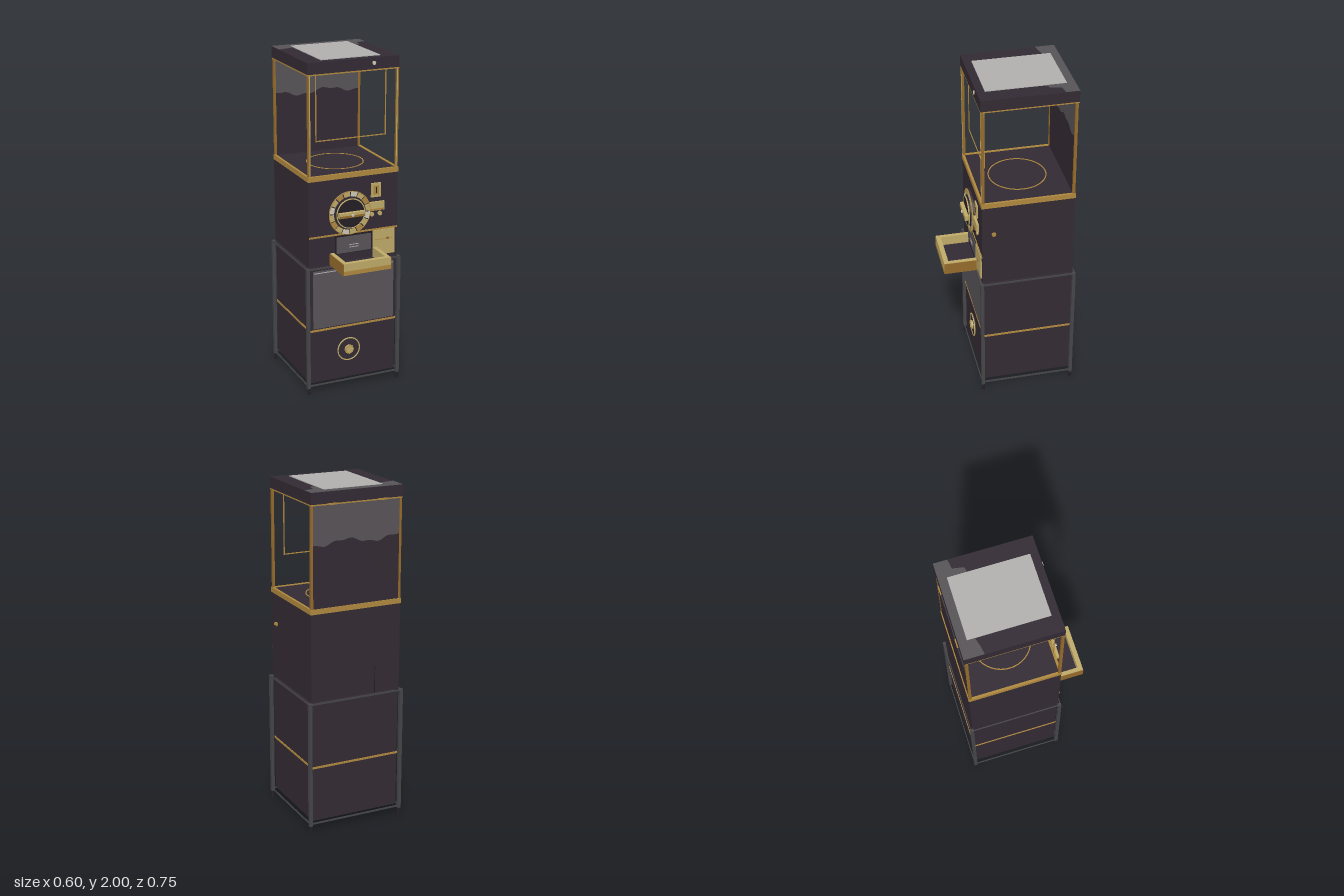
import * as THREE from 'three';

const mat = (name, color) => {
  const m = new THREE.MeshStandardMaterial({ color });
  m.name = name;
  return m;
};

export function createModel() {
  const dark = mat('dark plum', 0x332a33);
  const grey = mat('warm grey', 0x575357);
  const metal = mat('frame metal', 0x454448);
  const gold = mat('pale brass', 0xbda968);
  const warm = mat('warm gold', 0xae873e);
  const brass = mat('deep brass', 0x946a2b);
  const pale = mat('frosted grey', 0xb0afae);
  const cream = mat('cream', 0xcdc6b2);
  const black = mat('shadow black', 0x241e25);

  const root = new THREE.Group();
  root.name = 'capsuleCabinet';

  const add = (name, geo, m, x = 0, y = 0, z = 0) => {
    const mesh = new THREE.Mesh(geo, m);
    mesh.name = name;
    mesh.position.set(x, y, z);
    root.add(mesh);
    return mesh;
  };
  // Box given by its limits
  const box = (name, m, x0, x1, y0, y1, z0, z1) =>
    add(name, new THREE.BoxGeometry(x1 - x0, y1 - y0, z1 - z0), m,
      (x0 + x1) / 2, (y0 + y1) / 2, (z0 + z1) / 2);
  // Disc whose axis is z, with its back on z
  const disc = (name, m, r, depth, x, y, z, sides = 32) =>
    add(name, new THREE.CylinderGeometry(r, r, depth, sides).rotateX(Math.PI / 2), m, x, y, z + depth / 2);
  // Flat polygon with a thickness
  const plate = (name, m, pts, depth) => {
    const shape = new THREE.Shape(pts.map(p => new THREE.Vector2(p[0], p[1])));
    return add(name, new THREE.ExtrudeGeometry(shape, { depth, bevelEnabled: false }), m);
  };
  // Flat ring sector facing +z
  const sector = (name, m, ri, ro, a0, a1, depth, x, y, z) => {
    const s = new THREE.Shape();
    s.absarc(0, 0, ro, a0, a1, false);
    s.absarc(0, 0, ri, a1, a0, true);
    return add(name, new THREE.ExtrudeGeometry(s, { depth, bevelEnabled: false, curveSegments: 20 }), m, x, y, z);
  };
  // Four bars around the cabinet footprint
  const belt = (name, m, x, zb, zf, y0, y1, t) => {
    box(name, m, -x, x, y0, y1, zf - t, zf);
    box(name, m, -x, x, y0, y1, zb, zb + t);
    for (const s of [-1, 1]) {
      const c = s * (x - t / 2);
      box(name, m, c - t / 2, c + t / 2, y0, y1, zb + t, zf - t);
    }
  };

  // Stand: posts, feet and rails
  for (const x of [-0.291, 0.291]) {
    for (const z of [-0.368, 0.181]) {
      box('standPost', metal, x - 0.01, x + 0.01, 0.04, 0.797, z - 0.01, z + 0.01);
      add('standFoot', new THREE.CylinderGeometry(0.007, 0.01, 0.04, 12), black, x, 0.02, z);
    }
  }
  belt('standTopRail', metal, 0.297, -0.376, 0.189, 0.787, 0.797, 0.005);
  belt('standBottomRail', metal, 0.297, -0.376, 0.189, 0.05, 0.06, 0.005);

  // Lower cabinet
  box('lowerCabinet', dark, -0.274, 0.274, 0.066, 0.781, -0.36, 0.172);
  belt('lowerTrim', warm, 0.278, -0.364, 0.176, 0.393, 0.405, 0.006);
  box('lowerWindow', grey, -0.255, 0.262, 0.412, 0.772, 0.171, 0.176);
  box('lowerWindowLine', pale, -0.25, 0.257, 0.757, 0.762, 0.176, 0.178);
  disc('lowerKnobPlate', dark, 0.071, 0.008, -0.03, 0.25, 0.172);
  add('lowerKnobRing', new THREE.TorusGeometry(0.07, 0.004, 8, 40), gold, -0.03, 0.25, 0.18);
  disc('lowerKnob', gold, 0.029, 0.014, -0.03, 0.25, 0.178, 8);
  sector('lowerKnobRim', warm, 0.022, 0.026, 0, Math.PI * 2 - 0.001, 0.002, -0.03, 0.25, 0.192);

  // Middle cabinet
  box('middleCabinet', dark, -0.28, 0.28, 0.8, 1.318, -0.362, 0.176);
  belt('shelfTrim', warm, 0.283, -0.365, 0.179, 1.315, 1.345, 0.014);
  box('displayFloor', dark, -0.27, 0.27, 1.315, 1.34, -0.352, 0.166);
  sector('floorRing', warm, 0.164, 0.17, 0, Math.PI * 2 - 0.001, 0.003, 0, 1.34, -0.09).rotation.x = -Math.PI / 2;
  box('frontDivider', warm, -0.28, 0.28, 0.976, 0.986, 0.175, 0.18);
  box('rearSeam', black, -0.123, -0.119, 0.8, 0.96, -0.365, -0.361);

  // Turning dial with segmented ring and grip
  const dx = -0.03, dy = 1.108;
  disc('dialBase', dark, 0.13, 0.014, dx, dy, 0.176, 48);
  const ringColours = [gold, warm, gold, cream];
  for (let i = 0; i < 16; i++) {
    const a = (i / 16) * Math.PI * 2;
    sector('dialSegment', ringColours[i % 4], 0.1, 0.127, a, a + 0.34, 0.006, dx, dy, 0.188);
  }
  add('dialOuterRing', new THREE.TorusGeometry(0.129, 0.003, 8, 48), warm, dx, dy, 0.191);
  disc('dialFace', black, 0.088, 0.027, dx, dy, 0.18, 40);
  add('dialInnerRing', new THREE.TorusGeometry(0.087, 0.004, 8, 40), gold, dx, dy, 0.205);
  box('dialGrip', gold, -0.11, 0.05, 1.091, 1.121, 0.205, 0.229);
  box('dialGripLine', brass, -0.108, 0.048, 1.092, 1.105, 0.229, 0.231);
  disc('dialScrew', cream, 0.008, 0.008, dx, 1.106, 0.229, 16);

  // Coin fittings
  box('coinPlate', gold, 0.109, 0.171, 1.18, 1.265, 0.176, 0.184);
  box('coinPlateInset', warm, 0.122, 0.158, 1.195, 1.25, 0.184, 0.186);
  box('coinSlot', black, 0.137, 0.143, 1.205, 1.24, 0.186, 0.188);
  box('priceBox', gold, 0.09, 0.192, 1.1, 1.152, 0.176, 0.19);
  box('priceBoxShade', warm, 0.094, 0.188, 1.102, 1.112, 0.19, 0.192);
  for (const x of [0.115, 0.166]) disc('smallButton', gold, 0.013, 0.01, x, 1.078, 0.176, 16);
  box('coinDoor', gold, 0.123, 0.262, 0.822, 0.976, 0.176, 0.184);
  box('coinDoorSeam', warm, 0.136, 0.25, 0.916, 0.919, 0.184, 0.186);
  disc('coinDoorLock', brass, 0.008, 0.006, 0.215, 0.92, 0.184, 16);

  // Dispensing flap and tray
  box('flapFrame', black, -0.118, 0.118, 0.86, 0.976, 0.176, 0.18);
  box('flap', grey, -0.108, 0.108, 0.865, 0.964, 0.178, 0.184);
  for (const y of [0.895, 0.91]) box('flapLine', pale, -0.03, 0.03, y, y + 0.004, 0.184, 0.186);
  box('trayFloor', dark, -0.13, 0.126, 0.803, 0.815, 0.178, 0.352);
  for (const [a, b] of [[-0.149, -0.125], [0.121, 0.146]]) box('traySide', gold, a, b, 0.803, 0.873, 0.178, 0.35);
  box('trayFront', gold, -0.149, 0.146, 0.803, 0.873, 0.347, 0.375);
  for (const [a, b] of [[-0.152, -0.149], [0.146, 0.149]]) box('traySideSkin', brass, a, b, 0.802, 0.871, 0.178, 0.375);
  box('trayFrontBand', warm, -0.15, 0.147, 0.803, 0.828, 0.374, 0.377);

  // Side lock
  const lock = add('sideLock', new THREE.CylinderGeometry(0.013, 0.013, 0.006, 16), warm, 0.283, 1.135, 0.108);
  lock.rotation.z = Math.PI / 2;
  box('sideLockKey', warm, 0.285, 0.299, 1.132, 1.147, 0.104, 0.11);

  // Display corner posts with a bright inner edge on the front pair
  for (const x of [-0.273, 0.273]) {
    for (const z of [-0.354, 0.168])
      box('displayPost', brass, x - 0.007, x + 0.007, 1.34, 1.93, z - 0.008, z + 0.008);
    const inner = x - Math.sign(x) * 0.004;
    box('displayPostEdge', gold, inner - 0.003, inner + 0.003, 1.345, 1.922, 0.176, 0.178);
  }

  // Rear wall: dark below and grey above a wavy line
  const wave = [];
  for (let i = 0; i <= 28; i++) {
    const x = -0.266 + (0.532 * i) / 28;
    wave.push([x, 1.71 + 0.015 * Math.sin(x * 19 + 0.4) + 0.006 * Math.sin(x * 57)]);
  }
  plate('rearWallLower', dark, [[-0.266, 1.335], [0.266, 1.335], ...wave.slice().reverse()], 0.01).position.z = -0.36;
  plate('rearWallUpper', grey, [...wave, [0.266, 1.93], [-0.266, 1.93]], 0.01).position.z = -0.36;

  // Hanging card outline behind the front glass
  const cz = 0.143, cz1 = 0.147;
  box('cardEdge', warm, -0.222, -0.216, 1.537, 1.925, cz, cz1);
  box('cardEdge', warm, 0.209, 0.215, 1.537, 1.925, cz, cz1);
  box('cardEdge', warm, -0.216, 0.209, 1.537, 1.543, cz, cz1);

  // Roof with worn rear edge and frosted light panel
  box('roof', dark, -0.281, 0.281, 1.93, 1.996, -0.368, 0.178);
  belt('roofTrim', warm, 0.2805, -0.3675, 0.1775, 1.922, 1.93, 0.012);
  const worn = plate('roofWornPatch', grey, [[-0.28, 0.255], [-0.235, 0.262], [-0.19, 0.275], [0.17, 0.275],
    [0.18, 0.21], [0.212, 0.217], [0.224, 0.28], [0.28, 0.29], [0.28, 0.367], [-0.28, 0.367]], 0.002);
  worn.rotation.x = -Math.PI / 2;
  worn.position.y = 1.996;
  box('roofLightPanel', pale, -0.182, 0.182, 1.994, 2.0, -0.32, 0.133);
  disc('roofLock', cream, 0.011, 0.006, 0.122, 1.966, 0.178, 16);
  for (const x of [-0.156, 0.153]) box('roofHinge', warm, x - 0.024, x + 0.024, 1.922, 1.932, -0.375, -0.366);

  return root;
}
